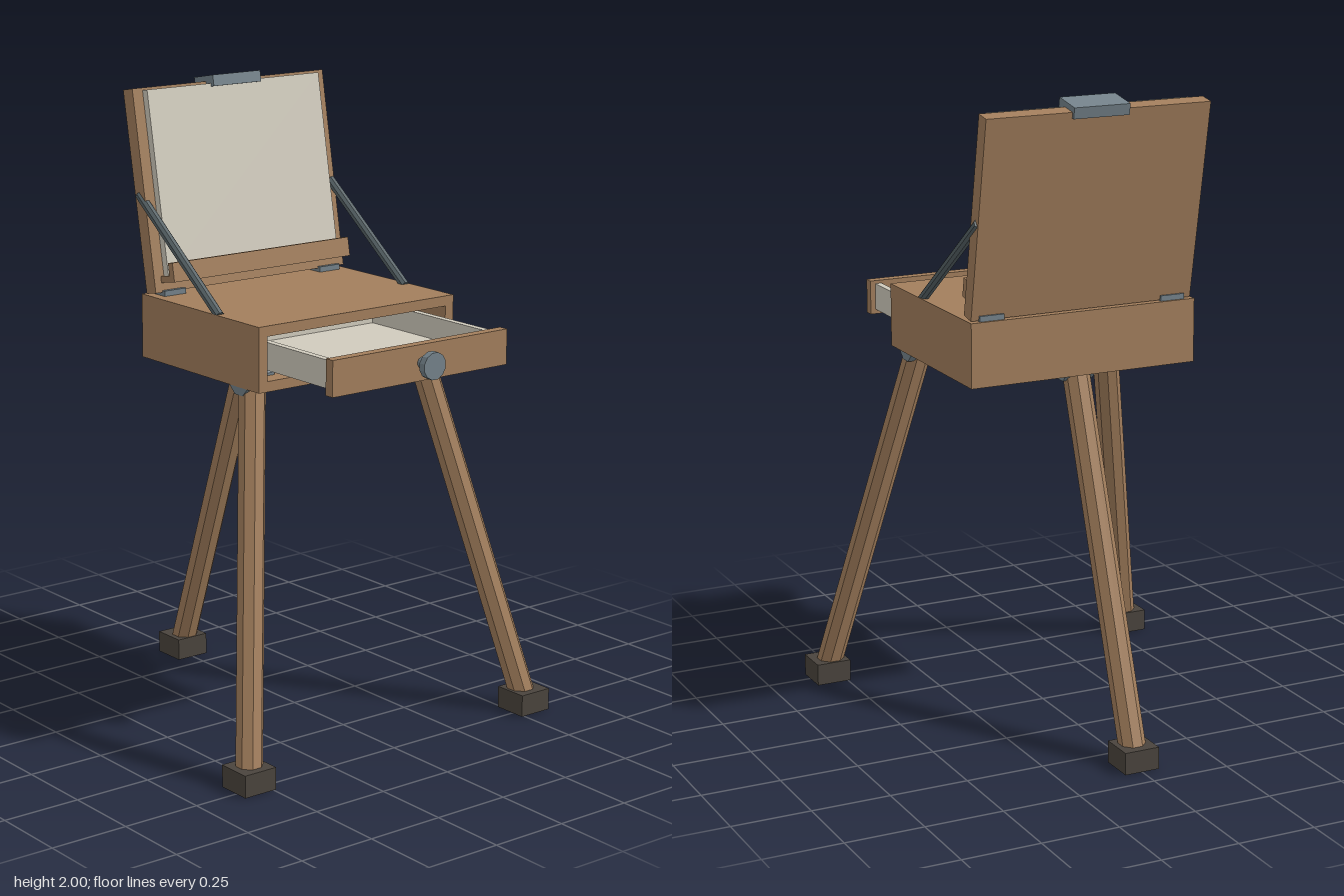
import * as THREE from 'three';

const mat = (color) => new THREE.MeshStandardMaterial({ color, flatShading: true });
const wood = mat(0xa27e5c);
const linen = mat(0xd0cbbd);
const metal = mat(0x74828a);
const iron = mat(0x566266);
const rubber = mat(0x4a443d);

// Box given by its limits on each axis
function block(parent, name, material, [x0, x1], [y0, y1], [z0, z1]) {
  const mesh = new THREE.Mesh(new THREE.BoxGeometry(x1 - x0, y1 - y0, z1 - z0), material);
  mesh.position.set((x0 + x1) / 2, (y0 + y1) / 2, (z0 + z1) / 2);
  mesh.name = name;
  parent.add(mesh);
  return mesh;
}

// Faceted bar between two points
function bar(parent, name, material, from, to, radius, sides = 8) {
  const a = new THREE.Vector3(...from);
  const b = new THREE.Vector3(...to);
  const geometry = new THREE.CylinderGeometry(radius, radius, a.distanceTo(b), sides);
  geometry.rotateY(Math.PI / sides);
  const mesh = new THREE.Mesh(geometry, material);
  mesh.position.copy(a).lerp(b, 0.5);
  mesh.quaternion.setFromUnitVectors(new THREE.Vector3(0, 1, 0), b.sub(a).normalize());
  mesh.name = name;
  parent.add(mesh);
  return mesh;
}

function group(parent, name) {
  const g = new THREE.Group();
  g.name = name;
  parent.add(g);
  return g;
}

// Hollow case, open at the front
function addCase(model) {
  const box = group(model, 'case');
  const depth = [-0.285, 0.315];
  block(box, 'caseTop', wood, [-0.377, 0.377], [1.313, 1.345], depth);
  block(box, 'caseBottom', wood, [-0.377, 0.377], [1.145, 1.177], depth);
  block(box, 'caseBack', wood, [-0.345, 0.345], [1.177, 1.313], [-0.285, -0.255]);
  for (const s of [-1, 1]) {
    const x = s < 0 ? [-0.377, -0.345] : [0.345, 0.377];
    block(box, 'caseSide', wood, x, [1.177, 1.313], depth);
  }
}

// Pulled-out drawer with knob
function addDrawer(model) {
  const drawer = group(model, 'drawer');
  block(drawer, 'drawerFront', wood, [-0.335, 0.335], [1.185, 1.295], [0.578, 0.61]);
  block(drawer, 'drawerBottom', linen, [-0.318, 0.318], [1.2, 1.215], [0, 0.578]);
  block(drawer, 'drawerBack', linen, [-0.296, 0.296], [1.215, 1.285], [0, 0.022]);
  for (const s of [-1, 1]) {
    const x = s < 0 ? [-0.318, -0.296] : [0.296, 0.318];
    block(drawer, 'drawerSide', linen, x, [1.215, 1.285], [0, 0.578]);
  }
  bar(drawer, 'knobStem', metal, [0, 1.24, 0.61], [0, 1.24, 0.648], 0.017, 12);
  bar(drawer, 'knob', metal, [0, 1.24, 0.647], [0, 1.24, 0.67], 0.042, 12);
}

// Lid leaning back, with canvas, ledge and clip
function addLid(model) {
  const lid = group(model, 'lid');
  lid.position.set(0, 1.347, -0.268);
  lid.rotation.x = -0.18;
  block(lid, 'lidPanel', wood, [-0.37, 0.37], [0, 0.63], [0, 0.05]);
  block(lid, 'canvas', linen, [-0.333, 0.333], [0.05, 0.622], [0.05, 0.075]);
  block(lid, 'ledgeShelf', wood, [-0.345, 0.345], [0.03, 0.05], [0.05, 0.121]);
  block(lid, 'ledgeLip', wood, [-0.345, 0.345], [0.05, 0.09], [0.097, 0.121]);
  block(lid, 'clip', metal, [-0.092, 0.092], [0.612, 0.647], [-0.01, 0.09]);

  // Hinges and side braces
  for (const s of [-1, 1]) {
    const x = s < 0 ? [-0.345, -0.265] : [0.265, 0.345];
    block(model, 'hinge', metal, x, [1.342, 1.362], [-0.278, -0.207]);
    bar(model, 'brace', iron, [s * 0.362, 1.34, 0.1], [s * 0.362, 1.65, -0.31], 0.0155);
  }
}

// Splayed legs: two at the front, one at the back
function addLegs(model) {
  const legs = [
    { top: [-0.328, 1.145, 0.217], foot: [-0.548, 0.487] },
    { top: [0.328, 1.145, 0.217], foot: [0.548, 0.487] },
    { top: [0, 1.145, -0.225], foot: [0, -0.617] },
  ];
  for (const { top, foot: [x, z] } of legs) {
    const leg = group(model, 'leg');
    bar(leg, 'legShaft', wood, [x, 0.035, z], top, 0.042);
    block(leg, 'foot', rubber, [x - 0.057, x + 0.057], [0, 0.07], [z - 0.057, z + 0.057]);
    const px = top[0] * 0.99, pz = top[2] * 0.97;
    bar(leg, 'legPivot', metal, [px - 0.05, 1.166, pz], [px + 0.05, 1.166, pz], 0.05);
  }
}

export function createModel() {
  const model = new THREE.Group();
  model.name = 'sketchBoxEasel';
  addCase(model);
  addDrawer(model);
  addLid(model);
  addLegs(model);
  return model;
}
